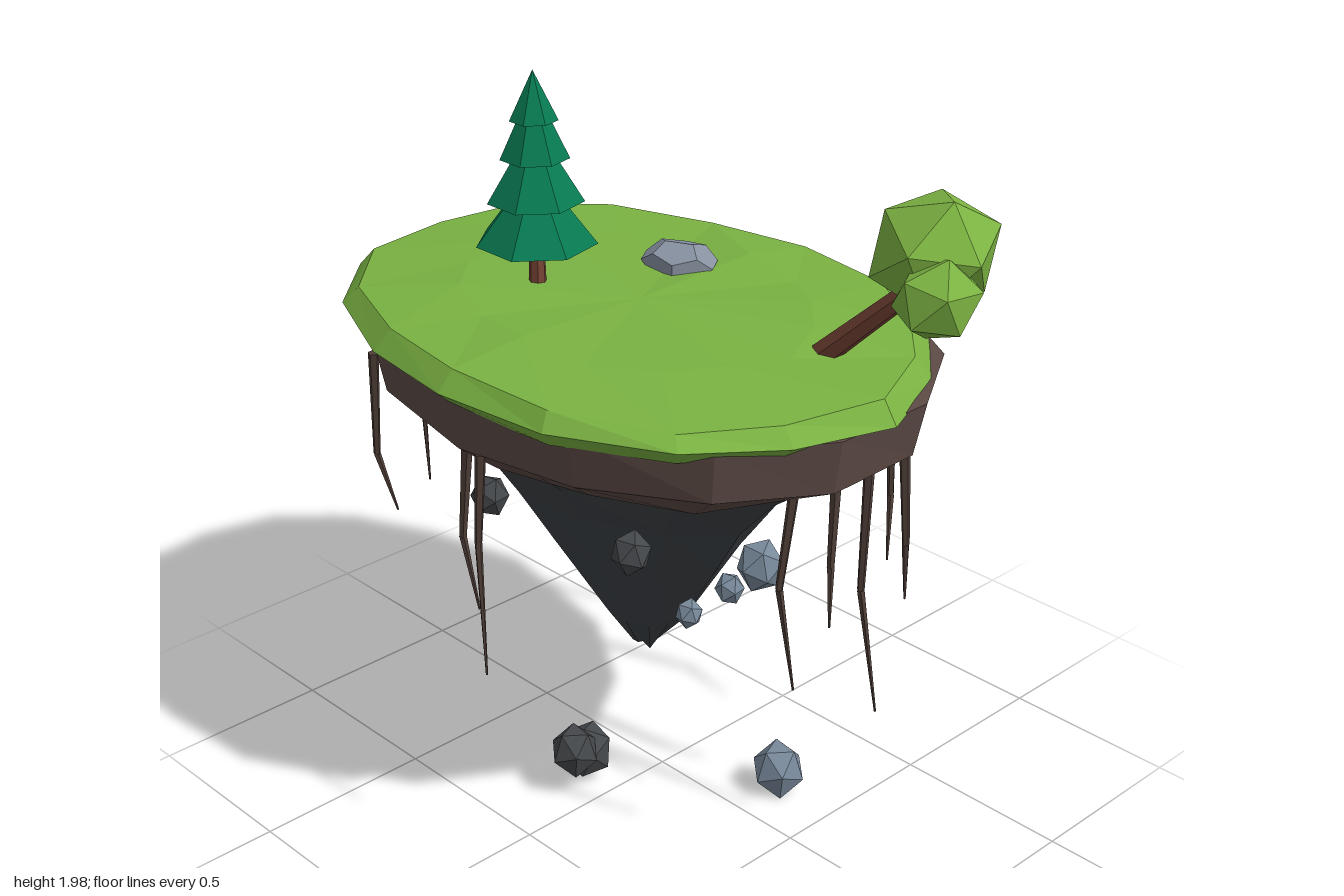
import * as THREE from 'three';
import { mergeGeometries } from 'three/addons/utils/BufferGeometryUtils.js';

const mat = (name, color) => {
  const m = new THREE.MeshStandardMaterial({ color });
  m.name = name;
  return m;
};

// Give every face its own normal
const flat = (geo) => {
  const g = geo.index ? geo.toNonIndexed() : geo;
  g.computeVertexNormals();
  return g;
};

// Seeded generator for uneven edges
const seeded = (seed) => () => {
  seed = (seed * 16807) % 2147483647;
  return seed / 2147483647;
};

const CENTRE_X = -0.08;
const ellipse = (n, rx, rz, turn) => Array.from({ length: n }, (_, i) => {
  const a = ((i + turn) / n) * Math.PI * 2;
  return [rx * Math.cos(a), rz * Math.sin(a)];
});

// Skin stacked rings [y, scale], listed from top to bottom
function loft(outline, rings, jitterY, jitterR, seed) {
  const rand = seeded(seed);
  const n = outline.length;
  const pts = rings.map(([y, s]) => outline.map(([x, z]) => {
    const k = s * (1 + (rand() - 0.5) * jitterR);
    const dy = s === 0 ? 0 : (rand() - 0.5) * jitterY;
    return [CENTRE_X + x * k, y + dy, z * k];
  }));
  const pos = [];
  for (let r = 0; r < rings.length - 1; r++) {
    for (let i = 0; i < n; i++) {
      const j = (i + 1) % n;
      const [a0, a1, b0, b1] = [pts[r][i], pts[r][j], pts[r + 1][i], pts[r + 1][j]];
      if (rings[r][1] > 0) pos.push(...a0, ...a1, ...b0);
      if (rings[r + 1][1] > 0) pos.push(...a1, ...b1, ...b0);
    }
  }
  const g = new THREE.BufferGeometry();
  g.setAttribute('position', new THREE.Float32BufferAttribute(pos, 3));
  g.computeVertexNormals();
  return g;
}

// Tapered stick between two points
function stick(a, b, ra, rb, sides) {
  const from = new THREE.Vector3(...a), to = new THREE.Vector3(...b);
  const dir = to.clone().sub(from);
  const g = new THREE.CylinderGeometry(rb, ra, dir.length(), sides);
  g.applyQuaternion(new THREE.Quaternion().setFromUnitVectors(new THREE.Vector3(0, 1, 0), dir.normalize()));
  g.translate(...from.add(to).multiplyScalar(0.5).toArray());
  return flat(g);
}

export function createModel() {
  const group = new THREE.Group();
  const grass = mat('grass', 0x7ab242);
  const leaf = mat('leaf', 0x7cb342);
  const pine = mat('pine needles', 0x087a52);
  const bark = mat('bark', 0x774536);
  const soil = mat('soil', 0x5d4b46);
  const rootBrown = mat('root', 0x4e3d37);
  const stone = mat('dark stone', 0x3c4044);
  const darkRock = mat('dark rock', 0x45484b);
  const paleRock = mat('pale rock', 0x78899a);
  const topRock = mat('grey rock', 0x8791a0);

  const add = (name, geo, material, parent = group) => {
    const m = new THREE.Mesh(geo, material);
    m.name = name;
    parent.add(m);
    return m;
  };

  // Grass cap
  const rim = [
    [0.88, 0], [0.80, 0.27], [0.64, 0.49], [0.35, 0.65], [0, 0.67], [-0.33, 0.62], [-0.63, 0.49], [-0.84, 0.28],
    [-0.88, 0], [-0.81, -0.25], [-0.62, -0.46], [-0.32, -0.6], [0, -0.67], [0.34, -0.61], [0.58, -0.46], [0.76, -0.27],
  ];
  add('grassCap', loft(rim, [[1.425, 0], [1.43, 0.6], [1.41, 0.94], [1.36, 1], [1.325, 0.93], [1.335, 0]], 0.025, 0.015, 11), grass);

  // Soil band and hanging stone cone
  add('soilBand', loft(ellipse(14, 0.89, 0.67, 0.5), [[1.36, 0], [1.36, 0.97], [1.21, 0.93], [1.11, 0.74], [1.14, 0]], 0.02, 0.03, 23), soil);
  add('stoneCone', loft(ellipse(11, 0.88, 0.66, 0.3), [
    [1.14, 0], [1.14, 0.8], [1.06, 0.63], [0.93, 0.5], [0.76, 0.36], [0.5, 0.15], [0.39, 0.04], [0.385, 0],
  ], 0.03, 0.06, 37), stone);

  // Pine tree
  const pineTree = new THREE.Group();
  pineTree.name = 'pineTree';
  pineTree.position.set(-0.35, 0, 0.12);
  group.add(pineTree);
  add('pineTrunk', stick([0, 1.41, 0], [0, 1.56, 0], 0.024, 0.02, 7), bark, pineTree);
  for (const [y, top, r, rTop] of [
    [1.54, 1.67, 0.163, 0.06], [1.655, 1.79, 0.13, 0.045], [1.77, 1.89, 0.093, 0.035], [1.87, 2.0, 0.065, 0],
  ]) {
    const tier = new THREE.CylinderGeometry(rTop, r, top - y, 7);
    tier.rotateY(Math.PI).translate(0, (y + top) / 2, 0);
    add('pineTier', flat(tier), pine, pineTree);
  }

  // Leaning tree
  const leaningTree = new THREE.Group();
  leaningTree.name = 'leaningTree';
  group.add(leaningTree);
  add('leaningTrunk', stick([0.46, 1.405, -0.105], [0.75, 1.68, -0.135], 0.034, 0.025, 6), bark, leaningTree);
  for (const [x, y, z, r, turn] of [
    [0.765, 1.755, -0.14, 0.165, 0.4], [0.86, 1.69, -0.04, 0.11, 1.1], [0.70, 1.72, -0.24, 0.1, 2],
  ]) {
    const m = add('leafClump', new THREE.IcosahedronGeometry(r), leaf, leaningTree);
    m.position.set(x, y, z);
    m.rotation.set(0.3, turn, 0.15);
    m.scale.y = 0.9;
  }

  // Boulder on the grass
  const boulder = new THREE.DodecahedronGeometry(0.1);
  boulder.rotateY(0.5).scale(1.15, 0.52, 0.95);
  add('boulder', flat(boulder), topRock).position.set(-0.185, 1.435, -0.24);

  // Floating rocks: x, y, z, radius
  const rocks = (name, material, list) => list.forEach(([x, y, z, r], i) => {
    const g = new THREE.IcosahedronGeometry(r);
    g.rotateX(0.5 + i).rotateY(i * 1.7).scale(0.95, 1.1, 0.95);
    add(name, flat(g), material).position.set(x, y, z);
  });
  rocks('darkFloatingRock', darkRock, [
    [-0.5, 0.83, -0.085, 0.062], [-0.375, 0.84, 0.29, 0.057], [0.23, 0.92, 0.33, 0.057],
    [-0.07, 0.15, 0.27, 0.072], [-0.095, 0.11, 0.2, 0.077],
  ]);
  rocks('paleFloatingRock', paleRock, [
    [0.365, 0.81, 0, 0.068], [0.285, 0.72, 0.03, 0.042], [0.195, 0.63, 0.09, 0.04], [0.32, 0.087, -0.14, 0.079],
  ]);

  // Hanging roots, each in two tapering lengths
  const roots = [
    [[-0.86, 1.2, 0.1], [-0.88, 0.95, 0.12], [-0.89, 0.63, 0.1]],
    [[-0.69, 1.15, -0.2], [-0.74, 0.88, -0.2], [-0.72, 0.71, -0.22]],
    [[-0.62, 1.24, 0.47], [-0.66, 0.92, 0.45], [-0.62, 0.75, 0.42]],
    [[-0.11, 1.18, 0.57], [-0.13, 0.92, 0.58], [-0.1, 0.71, 0.56]],
    [[-0.02, 1.2, 0.6], [-0.03, 0.95, 0.61], [0.02, 0.6, 0.64]],
    [[0.6, 1.2, 0.13], [0.59, 0.9, 0.17], [0.61, 0.6, 0.13]],
    [[0.65, 1.19, -0.08], [0.64, 0.82, -0.08], [0.69, 0.47, -0.1]],
    [[0.58, 1.14, -0.04], [0.58, 0.88, -0.03], [0.6, 0.72, -0.01]],
    [[0.66, 1.18, -0.2], [0.68, 0.92, -0.2], [0.67, 0.75, -0.22]],
    [[0.37, 1.22, -0.49], [0.35, 0.82, -0.53], [0.39, 0.65, -0.48]],
    [[-0.22, 1.2, -0.57], [-0.24, 0.82, -0.58], [-0.23, 0.65, -0.63]],
  ];
  for (const [a, b, c] of roots) {
    add('hangingRoot', mergeGeometries([
      stick(a, b, 0.015, 0.01, 5), stick(b, c, 0.01, 0.003, 5),
    ]), rootBrown);
  }
  return group;
}
